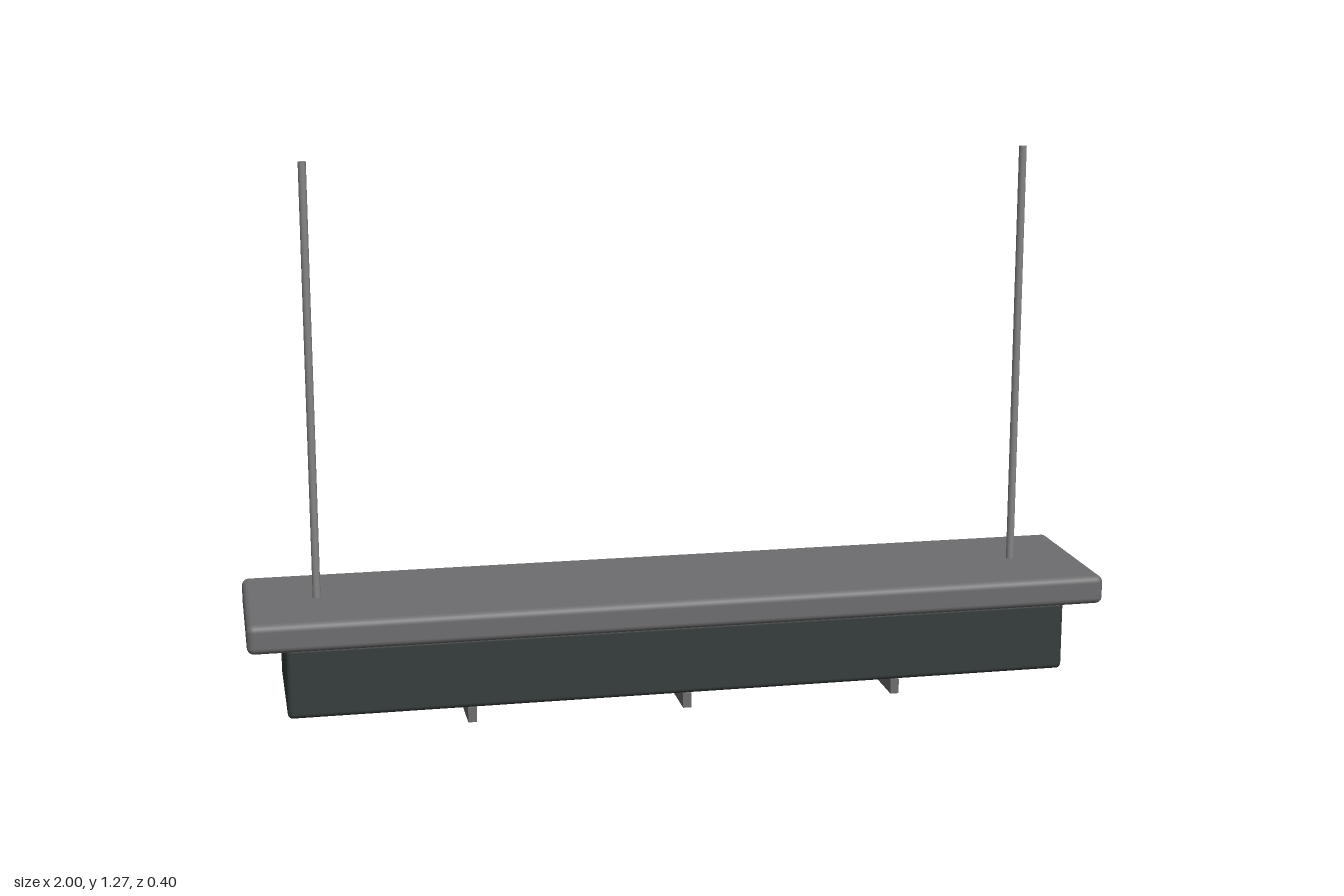
import * as THREE from 'three';
import { RoundedBoxGeometry } from 'three/addons/geometries/RoundedBoxGeometry.js';

export function createModel() {
  const model = new THREE.Group();
  model.name = 'hangingLamp';

  const material = (name, color) => {
    const m = new THREE.MeshStandardMaterial({ color });
    m.name = name;
    return m;
  };
  const grey = material('greyMetal', 0x6e6e70);
  const dark = material('darkHousing', 0x363d3c);
  const steel = material('rodSteel', 0x868686);
  const white = material('lightDiffuser', 0xe4e4e0);

  const add = (name, geometry, mat, x, y, z) => {
    const mesh = new THREE.Mesh(geometry, mat);
    mesh.name = name;
    mesh.position.set(x, y, z);
    model.add(mesh);
  };

  // Cover plate over the narrower housing
  add('topPlate', new RoundedBoxGeometry(2, 0.068, 0.4, 4, 0.016), grey, 0, 0.234, 0);
  add('housing', new RoundedBoxGeometry(1.83, 0.167, 0.33, 4, 0.012), dark, 0, 0.1175, 0);

  // Light panel under the housing
  add('diffuser', new THREE.BoxGeometry(1.73, 0.016, 0.23), white, 0, 0.028, 0);

  // Cross bars below the panel
  for (const x of [-0.5, 0, 0.5]) {
    add('crossBar', new THREE.BoxGeometry(0.02, 0.035, 0.33), grey, x, 0.0175, 0);
  }

  // Suspension rods
  for (const x of [-0.835, 0.835]) {
    add('suspensionRod', new THREE.CylinderGeometry(0.009, 0.009, 1.01, 12), steel, x, 0.763, 0);
  }

  return model;
}
